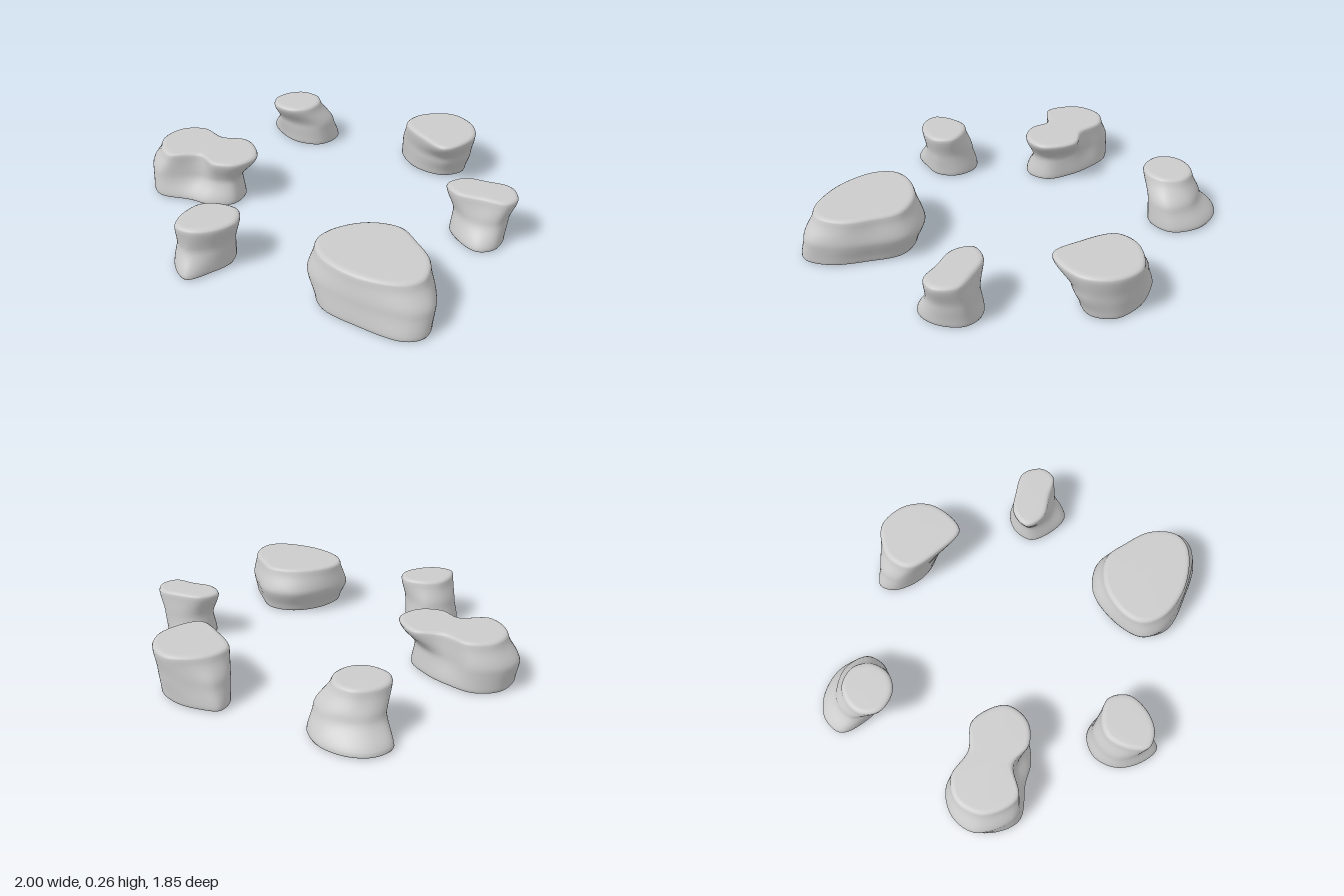
import * as THREE from 'three';

const HEIGHT = 0.257;
const SEGMENTS = 64;
const ROWS = 14;

// Smooth closed outline through [x, z, x, z, ...] control points
function outline(flat) {
  const pts = [];
  for (let i = 0; i < flat.length; i += 2) pts.push(new THREE.Vector3(flat[i], 0, flat[i + 1]));
  return new THREE.CatmullRomCurve3(pts, true, 'centripetal').getPoints(SEGMENTS).slice(0, SEGMENTS);
}

// Loft a flat-topped stone through its bottom, middle and top outlines
function makeStone(name, bottom, middle, top) {
  const [b, m, t] = [bottom, middle, top].map(outline);
  const positions = [];
  const index = [];

  // One ring at height fraction v, shrunk towards its centre by an inset distance
  const addRing = (v, y, inset) => {
    const ring = b.map((p, i) => {
      const k = (v - 0.5) * 2;
      const end = k < 0 ? p : t[i];
      const s = Math.sin(Math.abs(k) * Math.PI / 2) ** 2;
      return m[i].clone().lerp(end, 0.6 * s + 0.4 * Math.abs(k));
    });
    const c = ring.reduce((a, p) => a.add(p), new THREE.Vector3()).divideScalar(SEGMENTS);
    for (const p of ring) {
      const d = p.clone().sub(c);
      d.multiplyScalar(Math.max(0, 1 - inset / d.length()));
      positions.push(c.x + d.x, y, c.z + d.z);
    }
  };

  // Bottom cap, rounded rim, wall, rounded rim, top cap
  addRing(0, 0, 1);
  addRing(0, 0, 0.03);
  addRing(0, 0.001, 0.015);
  addRing(0, 0.006, 0.004);
  for (let r = 0; r <= ROWS; r++) {
    const v = r / ROWS;
    addRing(v, 0.014 + v * (HEIGHT - 0.03), 0);
  }
  addRing(1, HEIGHT - 0.007, 0.004);
  addRing(1, HEIGHT - 0.001, 0.014);
  addRing(1, HEIGHT, 0.03);
  addRing(1, HEIGHT, 1);

  const rings = positions.length / 3 / SEGMENTS;
  for (let r = 0; r < rings - 1; r++) {
    for (let i = 0; i < SEGMENTS; i++) {
      const a = r * SEGMENTS + i;
      const n = r * SEGMENTS + (i + 1) % SEGMENTS;
      index.push(a, a + SEGMENTS, n, n, a + SEGMENTS, n + SEGMENTS);
    }
  }
  const geometry = new THREE.BufferGeometry();
  geometry.setAttribute('position', new THREE.Float32BufferAttribute(positions, 3));
  geometry.setIndex(index);
  geometry.computeVertexNormals();
  const mesh = new THREE.Mesh(geometry, new THREE.MeshStandardMaterial({ color: 0xcccccc, roughness: 0.9 }));
  mesh.name = name;
  return mesh;
}

export function createModel() {
  const group = new THREE.Group();
  group.name = 'stoneRing';

  // Outlines run from -x by way of -z, +x and +z
  group.add(
    // Large stone with a wide base
    makeStone('largeFrontStone',
      [0.2, 0.7, 0.25, 0.54, 0.38, 0.43, 0.53, 0.43, 0.65, 0.56, 0.75, 0.72, 0.76, 0.86, 0.68, 0.92, 0.45, 0.89, 0.26, 0.82],
      [0.15, 0.68, 0.21, 0.53, 0.36, 0.39, 0.53, 0.39, 0.66, 0.53, 0.75, 0.68, 0.77, 0.82, 0.69, 0.89, 0.45, 0.88, 0.22, 0.79],
      [0.18, 0.66, 0.22, 0.55, 0.36, 0.44, 0.52, 0.43, 0.62, 0.52, 0.71, 0.64, 0.72, 0.78, 0.65, 0.85, 0.43, 0.86, 0.24, 0.77]),

    // Long two-lobed stone whose inner end overhangs
    makeStone('longLeftStone',
      [-0.98, 0.04, -0.94, -0.12, -0.82, -0.185, -0.66, -0.14, -0.54, -0.07, -0.44, 0.04, -0.46, 0.16, -0.58, 0.21, -0.7, 0.2, -0.89, 0.2],
      [-1.0, 0.0, -0.94, -0.13, -0.8, -0.185, -0.67, -0.12, -0.56, -0.07, -0.46, 0.03, -0.47, 0.13, -0.56, 0.16, -0.67, 0.14, -0.88, 0.19],
      [-0.93, 0.03, -0.89, -0.11, -0.77, -0.16, -0.63, -0.1, -0.48, -0.11, -0.37, 0.04, -0.43, 0.16, -0.55, 0.19, -0.66, 0.13, -0.82, 0.18]),

    // Stone leaning in from a spread base
    makeStone('leaningBackStone',
      [-0.6, -0.79, -0.54, -0.89, -0.42, -0.925, -0.27, -0.88, -0.18, -0.75, -0.24, -0.62, -0.38, -0.6, -0.51, -0.67],
      [-0.54, -0.73, -0.49, -0.81, -0.4, -0.84, -0.28, -0.82, -0.2, -0.72, -0.25, -0.61, -0.38, -0.59, -0.5, -0.64],
      [-0.54, -0.66, -0.5, -0.74, -0.41, -0.79, -0.31, -0.76, -0.27, -0.67, -0.31, -0.57, -0.4, -0.53, -0.51, -0.57]),

    // Stone with an overhanging egg-shaped top
    makeStone('overhangingBackStone',
      [0.24, -0.68, 0.25, -0.77, 0.33, -0.79, 0.47, -0.78, 0.6, -0.7, 0.62, -0.58, 0.52, -0.5, 0.35, -0.54],
      [0.25, -0.65, 0.28, -0.75, 0.37, -0.78, 0.5, -0.78, 0.62, -0.69, 0.65, -0.56, 0.54, -0.46, 0.36, -0.52],
      [0.28, -0.59, 0.31, -0.7, 0.41, -0.77, 0.52, -0.785, 0.64, -0.69, 0.67, -0.54, 0.55, -0.37, 0.41, -0.45]),

    // Small stone with a flared oval top
    makeStone('smallRightStone',
      [0.67, 0.0, 0.72, -0.1, 0.82, -0.14, 0.91, -0.1, 0.95, 0.02, 0.92, 0.13, 0.84, 0.17, 0.73, 0.1],
      [0.68, -0.01, 0.73, -0.09, 0.82, -0.12, 0.92, -0.1, 0.96, 0.01, 0.92, 0.09, 0.83, 0.1, 0.74, 0.07],
      [0.635, -0.02, 0.7, -0.1, 0.82, -0.11, 0.95, -0.09, 0.995, 0.01, 0.95, 0.08, 0.84, 0.075, 0.7, 0.06]),

    // Small stone with a kidney-shaped top
    makeStone('smallFrontStone',
      [-0.54, 0.64, -0.5, 0.52, -0.39, 0.47, -0.28, 0.53, -0.25, 0.64, -0.31, 0.75, -0.4, 0.84, -0.49, 0.77],
      [-0.52, 0.64, -0.48, 0.54, -0.39, 0.49, -0.28, 0.54, -0.24, 0.63, -0.3, 0.73, -0.41, 0.78, -0.48, 0.74],
      [-0.49, 0.67, -0.45, 0.56, -0.36, 0.52, -0.25, 0.54, -0.215, 0.64, -0.28, 0.74, -0.38, 0.79, -0.47, 0.77]),
  );
  return group;
}
